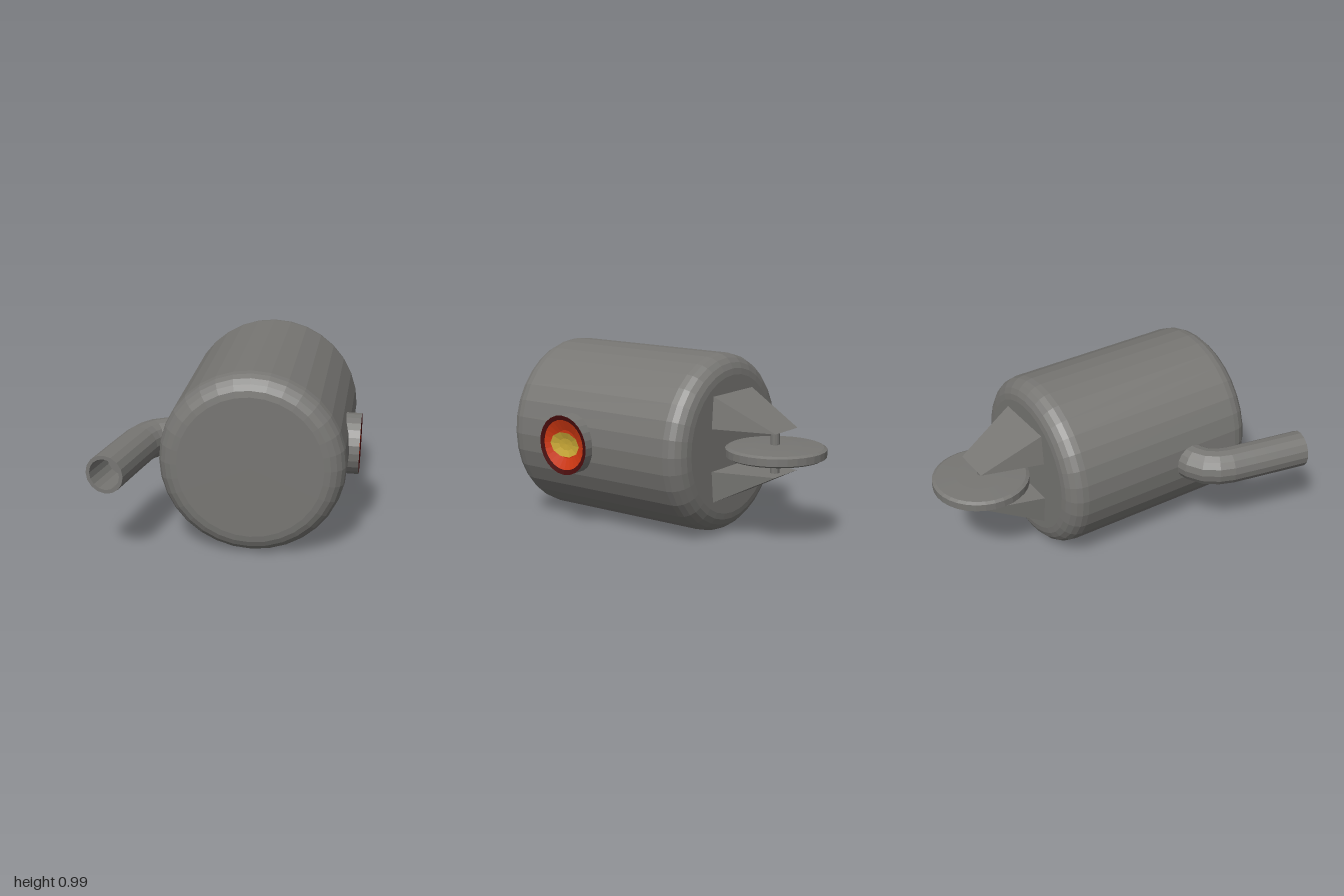
import * as THREE from 'three';

const V2 = (x, y) => new THREE.Vector2(x, y);
const V3 = (x, y, z) => new THREE.Vector3(x, y, z);
const flat = (name, color) => {
  const m = new THREE.MeshStandardMaterial({ color, flatShading: true, side: THREE.DoubleSide });
  m.name = name;
  return m;
};

export function createModel() {
  const steel = flat('grey steel', 0x777673);
  const darkRed = flat('dark red', 0x4a0c0c);
  const red = flat('glowing red', 0xd03812);
  const yellow = flat('flame yellow', 0xc9a836);

  const model = new THREE.Group();
  model.name = 'boiler';
  const add = (name, geometry, material, parent = model) => {
    const mesh = new THREE.Mesh(geometry, material);
    mesh.name = name;
    parent.add(mesh);
    return mesh;
  };
  const lathe = (points, sides) => new THREE.LatheGeometry(points.map(p => V2(...p)), sides);

  // Tank: a drum lying along z with rounded ends
  const R = 0.497, half = 0.615, c = 0.11, steps = 5;
  const profile = [[0, -half]];
  for (const end of [-1, 1]) {
    for (let i = 0; i <= steps; i++) {
      const a = (end < 0 ? i : steps - i) / steps * Math.PI / 2;
      profile.push([R - c + c * Math.sin(a), end * (half - c + c * Math.cos(a))]);
    }
  }
  profile.push([0, half]);
  const tank = add('tank', lathe(profile, 32), steel);
  tank.rotation.x = Math.PI / 2;
  tank.position.set(0.137, 0.497, 0.175);

  // Exhaust pipe: bent tube with a hollow mouth
  const pipe = new THREE.Group();
  pipe.name = 'exhaustPipe';
  model.add(pipe);
  const y = 0.497;
  const path = new THREE.CatmullRomCurve3([
    V3(-0.25, y, 0.36), V3(-0.36, y, 0.37), V3(-0.44, y, 0.41), V3(-0.489, y, 0.49),
    V3(-0.515, y, 0.6), V3(-0.588, y, 0.973),
  ]);
  add('pipeWall', new THREE.TubeGeometry(path, 12, 0.104, 16), steel, pipe);
  const mouth = path.getPoint(1), out = path.getTangent(1);
  const bottom = mouth.clone().addScaledVector(out, -0.22);
  add('pipeBore', new THREE.TubeGeometry(new THREE.LineCurve3(bottom, mouth), 1, 0.084, 16), steel, pipe);
  const facing = (mesh, at) => {
    mesh.position.copy(at);
    mesh.quaternion.setFromUnitVectors(V3(0, 0, 1), out);
  };
  facing(add('pipeRim', new THREE.RingGeometry(0.084, 0.104, 16), steel, pipe), mouth);
  facing(add('pipeBottom', new THREE.CircleGeometry(0.084, 16), steel, pipe), bottom);

  // Furnace port: short collar on the left with a shallow glowing bowl
  const port = new THREE.Group();
  port.name = 'furnacePort';
  port.position.set(0.687, 0.487, 0.32);
  port.rotation.z = -Math.PI / 2 - 0.02;
  model.add(port);
  add('portCollar', lathe([[0.168, -0.15], [0.168, 0]], 24), steel, port);
  add('portRim', lathe([[0.168, 0], [0.142, -0.006]], 24), darkRed, port);
  add('embers', lathe([[0.142, -0.006], [0.08, -0.03], [0, -0.036]], 24), red, port);
  add('flame', lathe([[0.105, -0.015], [0.05, -0.027], [0, -0.03]], 10), yellow, port).scale.x = 0.68;

  // Wheel brackets: tapering wedges, the lower one mirrored
  const bracket = (name, inner, outer) => {
    const zb = -0.42, zt = -0.785;
    const A = [-0.07, inner, zb], B = [0.345, inner, zb], C = [0.25, inner, zt], D = [0.03, inner, zt];
    const E = [-0.05, outer, zb], F = [0.33, outer, zb];
    const faces = [[A, B, C], [A, C, D], [E, D, C], [E, C, F], [A, D, E], [B, F, C], [A, E, F], [A, F, B]];
    const g = new THREE.BufferGeometry();
    g.setAttribute('position', new THREE.Float32BufferAttribute(faces.flat(2), 3));
    // Turn the corner order round where the wedge points down
    if (outer > inner) g.setIndex([...Array(24).keys()]);
    else g.setIndex([...Array(24).keys()].map(i => i - (i % 3) + (2 - (i % 3))));
    g.computeVertexNormals();
    add(name, g, steel);
  };
  bracket('upperBracket', 0.615, 0.8);
  bracket('lowerBracket', 0.38, 0.195);

  // Flywheel on a vertical axle
  const wheel = add('flywheel', lathe([
    [0, -0.038], [0.14, -0.036], [0.255, -0.03], [0.273, -0.02],
    [0.273, 0.02], [0.255, 0.03], [0.14, 0.036], [0, 0.038],
  ], 32), steel);
  wheel.position.set(0.15, 0.498, -0.727);
  const axle = add('axle', new THREE.CylinderGeometry(0.025, 0.025, 0.24, 12), steel);
  axle.position.set(0.15, 0.498, -0.72);

  return model;
}
